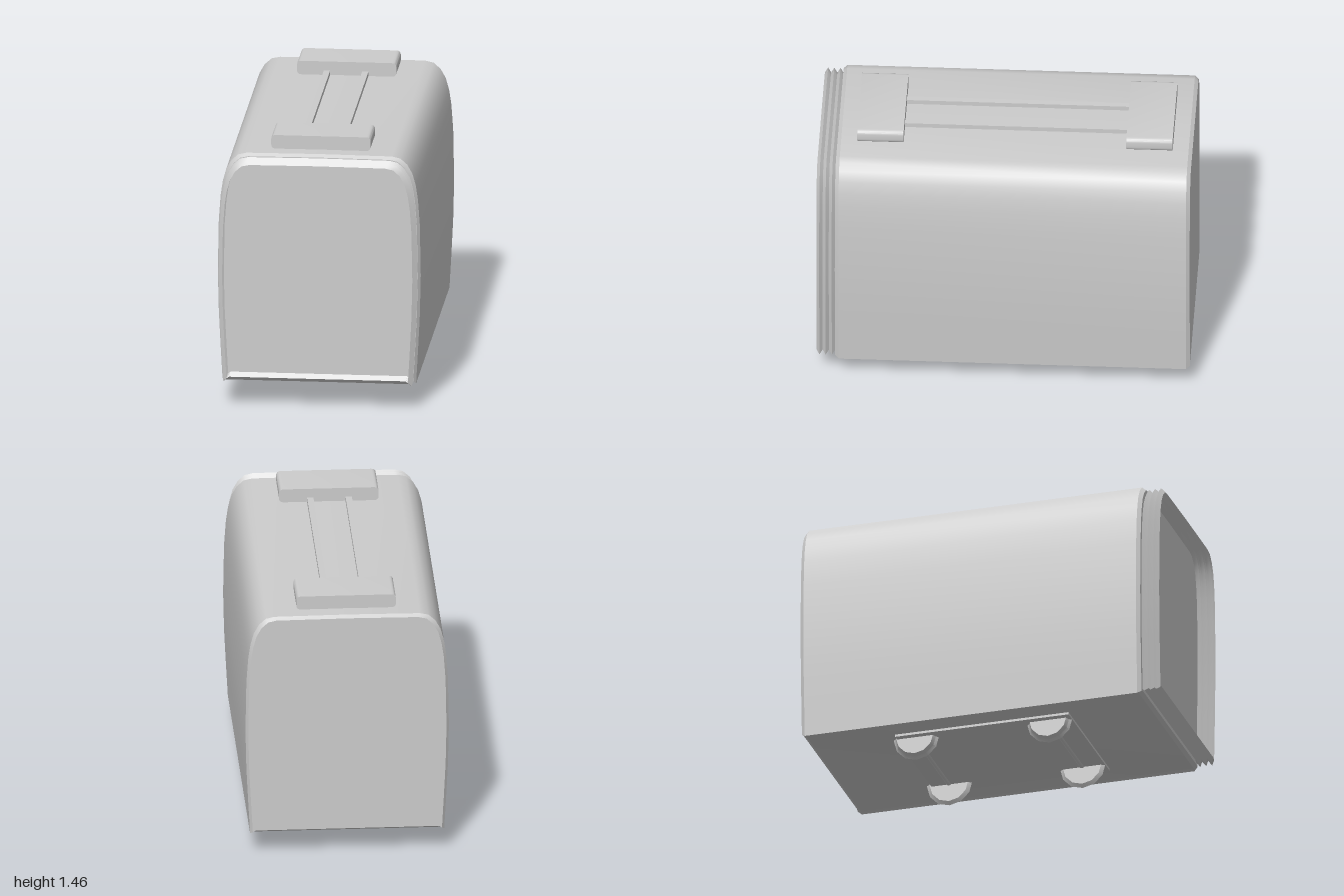
import * as THREE from 'three';
import { toCreasedNormals } from 'three/addons/utils/BufferGeometryUtils.js';

const CENTRE_Y = 0.75;

// Half of the carriage cross-section, from the floor up to the roof ridge
const HALF = [
  [0.505, 0.13], [0.52, 0.12], [0.53, 0.3], [0.54, 0.5], [0.545, 0.72], [0.54, 1.0],
  [0.53, 1.14], [0.518, 1.22], [0.5, 1.285], [0.472, 1.335], [0.435, 1.368], [0.39, 1.378], [0, 1.381],
];
const SECTION = [...HALF, ...HALF.slice(0, -1).reverse().map(([x, y]) => [-x, y])];

// Section shrunk by d on every side and placed at z
function ring(z, d) {
  return SECTION.map(([x, y]) => [
    x * (1 - d / 0.545), CENTRE_Y + (y - CENTRE_Y) * (1 - d / 0.63), z,
  ]);
}

// Skin over a list of [z, inset] rings, optionally closed at both ends
function loft(stations, capped, crease) {
  const rings = stations.map(([z, d]) => ring(z, d));
  const n = SECTION.length;
  const pos = [];
  const tri = (a, b, c) => pos.push(...a, ...b, ...c);
  for (let k = 0; k + 1 < rings.length; k++) {
    for (let i = 0; i < n; i++) {
      const j = (i + 1) % n;
      tri(rings[k][i], rings[k][j], rings[k + 1][j]);
      tri(rings[k][i], rings[k + 1][j], rings[k + 1][i]);
    }
  }
  if (capped) {
    const first = rings[0], last = rings[rings.length - 1];
    for (let i = 0; i < n; i++) {
      const j = (i + 1) % n;
      tri([0, CENTRE_Y, last[0][2]], last[i], last[j]);
      tri([0, CENTRE_Y, first[0][2]], first[j], first[i]);
    }
  }
  const geo = new THREE.BufferGeometry();
  geo.setAttribute('position', new THREE.Float32BufferAttribute(pos, 3));
  return toCreasedNormals(geo, crease);
}

export function createModel() {
  const model = new THREE.Group();
  model.name = 'carriage';
  const grey = new THREE.MeshStandardMaterial({ color: 0xcccccc, side: THREE.DoubleSide });
  grey.name = 'light grey';

  function add(name, geo, x = 0, y = 0, z = 0) {
    const mesh = new THREE.Mesh(geo, grey);
    mesh.name = name;
    mesh.position.set(x, y, z);
    model.add(mesh);
    return mesh;
  }

  // Body shell with slightly bevelled ends
  add('body', loft([[-1, 0.014], [-0.98, 0], [0.88, 0], [0.9, 0.014]], true, 0.6));

  // Open pleated gangway around the front end
  const pleats = [];
  for (let i = 0; i <= 6; i++) pleats.push([0.9 + i * 0.1 / 6, i % 2 ? 0.014 : 0.034]);
  add('bellows', loft(pleats, false, 0.6));

  // Roof units with rounded long edges
  const w = 0.267, h = 0.075, r = 0.024;
  const outline = new THREE.Shape();
  outline.moveTo(-w + r, 0);
  outline.lineTo(w - r, 0);
  outline.quadraticCurveTo(w, 0, w, r);
  outline.lineTo(w, h - r);
  outline.quadraticCurveTo(w, h, w - r, h);
  outline.lineTo(-w + r, h);
  outline.quadraticCurveTo(-w, h, -w, h - r);
  outline.lineTo(-w, r);
  outline.quadraticCurveTo(-w, 0, -w + r, 0);
  const unitGeo = toCreasedNormals(
    new THREE.ExtrudeGeometry(outline, { depth: 0.248, bevelEnabled: false, curveSegments: 4 }), 0.7);
  for (const z of [0.545, -0.895]) add('roofUnit', unitGeo, 0, 1.38, z);

  // Twin conduits between the roof units
  for (const x of [-0.106, 0.1]) {
    add('roofConduit', new THREE.BoxGeometry(0.034, 0.03, 1.2), x, 1.39, -0.05);
  }

  // Underframe plate
  add('underframe', new THREE.BoxGeometry(0.745, 0.02, 0.97), 0, 0.127, -0.035);

  // Flanged wheels and their axles
  const profile = [[0, 0], [0.108, 0], [0.127, 0.014], [0.114, 0.026], [0.104, 0.05], [0, 0.05]]
    .map(([a, b]) => new THREE.Vector2(a, b));
  const wheelGeo = toCreasedNormals(new THREE.LatheGeometry(profile, 12), 0.6);
  for (const z of [0.323, -0.422]) {
    for (const s of [-1, 1]) {
      add('wheel', wheelGeo, s * 0.287, 0.127, z).rotation.z = -s * Math.PI / 2;
    }
    const axle = add('axle', new THREE.CylinderGeometry(0.015, 0.015, 0.6, 8), 0, 0.125, z);
    axle.rotation.z = Math.PI / 2;
  }

  return model;
}
